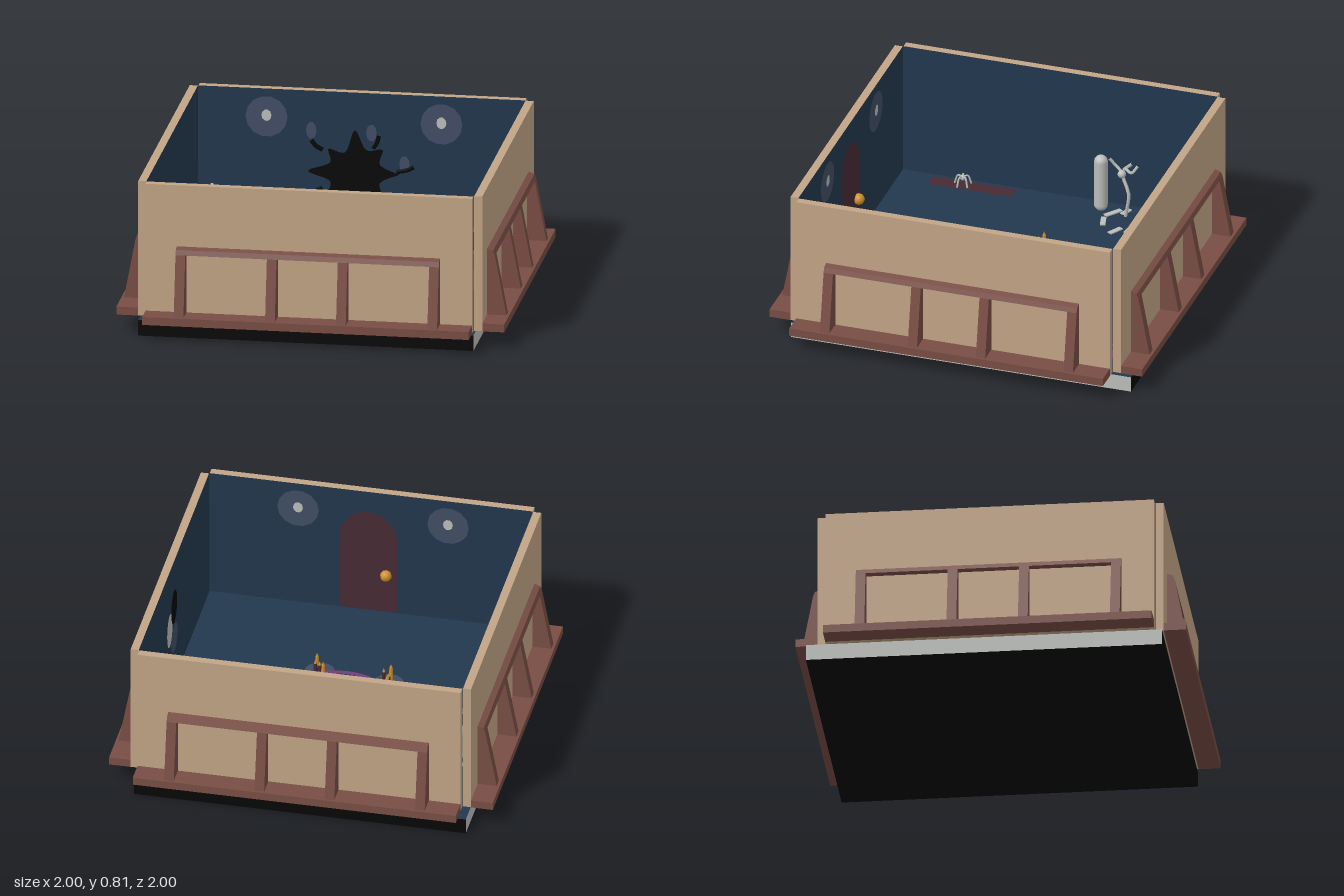
import * as THREE from 'three';

const mat = (name, color) => Object.assign(new THREE.MeshStandardMaterial({ color }), { name });

export function createModel() {
  const root = new THREE.Group();
  root.name = 'ritualRoom';
  const tan = mat('tanPlaster', 0xc2a486);
  const brown = mat('brownTrim', 0x784d44);
  const blue = mat('darkBlue', 0x22374e);
  const black = mat('black', 0x060606);
  const pale = mat('paleBone', 0xbcbeba);
  const purple = mat('purplePaint', 0x733b7a);
  const glow = mat('paleGlow', 0x414d65);
  const maroon = mat('darkRed', 0x472a35);
  const gold = mat('gold', 0xd0902c);

  const add = (parent, name, geo, material, x = 0, y = 0, z = 0) => {
    const m = new THREE.Mesh(geo, material);
    m.name = name;
    m.position.set(x, y, z);
    parent.add(m);
    return m;
  };
  const box = (w, h, d) => new THREE.BoxGeometry(w, h, d);
  const v3 = (p) => new THREE.Vector3(...p);

  // Closed flat outline, smooth or straight
  const blob = (pts, smooth = true) => {
    const v = pts.map((p) => new THREE.Vector2(...p));
    if (!smooth) return new THREE.ShapeGeometry(new THREE.Shape(v));
    const s = new THREE.Shape().moveTo(v[0].x, v[0].y);
    s.splineThru([...v.slice(1), v[0]]);
    return new THREE.ShapeGeometry(s);
  };
  const rod = (parent, name, pts, r, material) => add(parent, name,
    new THREE.TubeGeometry(new THREE.CatmullRomCurve3(pts.map(v3)), 10, r, 6), material);

  // Floor slab: blue top, pale sides, black ends and underside
  add(root, 'floorSlab', box(1.725, 0.083, 1.82), [pale, pale, blue, black, black, black], -0.017, 0.0415, -0.03);

  // Wall panel with sloped timber frame, outward along +z
  const ribProfile = new THREE.Shape([[0.88, 0.13], [0.985, 0.13], [0.925, 0.45], [0.915, 0.475], [0.88, 0.487]]
    .map((p) => new THREE.Vector2(...p)));
  const railProfile = new THREE.Shape([[0.88, 0.45], [0.925, 0.45], [0.915, 0.475], [0.88, 0.487]]
    .map((p) => new THREE.Vector2(...p)));
  const beam = (profile, x0, x1) => new THREE.ExtrudeGeometry(profile, { depth: x1 - x0, bevelEnabled: false })
    .rotateY(-Math.PI / 2).translate(x1, 0, 0);
  const makeWall = (name, angle) => {
    const g = new THREE.Group();
    g.name = name;
    g.rotation.y = angle;
    root.add(g);
    add(g, 'panel', box(1.68, 0.715, 0.042), [tan, tan, tan, tan, tan, blue], 0, 0.4525, 0.864);
    add(g, 'skirt', box(1.68, 0.042, 0.113), brown, 0, 0.115, 0.9415);
    for (const x of [-0.655, -0.185, 0.18, 0.65]) add(g, 'rib', beam(ribProfile, x - 0.025, x + 0.025), brown);
    add(g, 'rail', beam(railProfile, -0.68, 0.675), brown);
    return g;
  };
  const front = makeWall('frontWall', 0);
  const left = makeWall('leftWall', Math.PI / 2);
  const back = makeWall('backWall', Math.PI);
  makeWall('rightWall', -Math.PI / 2);

  // Paint on the inner face of a wall
  const onWall = (wall, name, geo, material, x, y, layer = 1) =>
    add(wall, name, geo.rotateY(Math.PI), material, x, y, 0.843 - 0.003 * layer);

  // Glowing wall lamps
  for (const [wall, xs] of [[front, [-0.4, 0.38]], [back, [-0.41, 0.49]]]) {
    for (const x of xs) {
      onWall(wall, 'lampGlow', new THREE.CircleGeometry(0.108, 14), glow, x, 0.663);
      onWall(wall, 'lamp', new THREE.CircleGeometry(0.026, 10).scale(1, 1.2, 1), pale, x, 0.67, 2);
    }
  }

  // Arched door and knob
  const door = new THREE.Shape().moveTo(-0.15, 0).lineTo(0.15, 0).lineTo(0.15, 0.42);
  door.absellipse(0, 0.42, 0.15, 0.17, 0, Math.PI);
  onWall(front, 'door', new THREE.ShapeGeometry(door), maroon, 0.015, 0.1);
  add(front, 'doorKnob', new THREE.SphereGeometry(0.03, 10, 8), gold, -0.08, 0.325, 0.825);

  // Ragged black hole with tendrils and wisps
  const radii = [0.23, 0.14, 0.2, 0.15, 0.25, 0.13, 0.19, 0.14, 0.24, 0.14, 0.19, 0.13, 0.22, 0.15, 0.2, 0.14];
  onWall(back, 'wallHole', blob(radii.map((r, i) => {
    const a = (i / radii.length) * Math.PI * 2;
    return [r * Math.cos(a), r * 0.9 * Math.sin(a)];
  })), black, 0.035, 0.385, 2);
  for (const [x, y, dx, dy] of [[0.2, 0.5, 0.06, 0.05], [-0.06, 0.52, -0.03, 0.07], [0.2, 0.3, 0.07, -0.06],
    [-0.1, 0.24, -0.06, -0.06], [-0.18, 0.4, -0.09, 0.03]]) {
    rod(back, 'tendril', [[x, y, 0.838], [x + dx * 0.6, y + dy * 0.4, 0.838], [x + dx, y + dy, 0.838]], 0.012, black);
  }
  for (const [x, y] of [[0.26, 0.6], [-0.05, 0.6], [-0.22, 0.44]]) {
    onWall(back, 'wisp', new THREE.CircleGeometry(0.027, 10).scale(1, 1.7, 1), glow, x, y);
  }

  // Painted figure on the left wall, with light spilling below
  onWall(left, 'figureHead', new THREE.CircleGeometry(0.07, 14).scale(1, 1.4, 1), black, 0.02, 0.55, 2);
  onWall(left, 'figureBody', new THREE.CircleGeometry(0.065, 14).scale(1, 1.5, 1), pale, 0.11, 0.46);
  onWall(left, 'figureGlow', new THREE.CircleGeometry(0.08, 14), glow, 0, 0.35);

  // Paint on the floor
  const onFloor = (name, geo, material, x, z, layer = 1) =>
    add(root, name, geo.rotateX(-Math.PI / 2), material, x, 0.083 + 0.002 * layer, z);
  const spill = new THREE.Shape().moveTo(0.84, 0.24).lineTo(0.56, 0.235)
    .bezierCurveTo(0.36, 0.2, 0.36, -0.1, 0.52, -0.122).lineTo(0.84, -0.1);
  onFloor('floorLight', new THREE.ShapeGeometry(spill), glow, 0, 0);
  const stain = [[-0.84, -0.68], [-0.84, -0.23]];
  for (let i = 0; i <= 20; i++) stain.push([-0.748 - 0.014 * Math.abs(Math.sin(i * Math.PI / 5 + 0.6)), -0.24 - i * 0.022]);
  onFloor('stain', blob(stain, false), maroon, 0, 0);

  // Summoning circle on a turned plate
  add(root, 'circlePlate', box(0.63, 0.004, 0.63), blue, -0.016, 0.083, 0.015).rotation.y = 0.175;
  onFloor('circleRing', new THREE.RingGeometry(0.262, 0.292, 40).scale(1, 0.95, 1), purple, 0, -0.005, 3);
  const tips = [[0.02, -0.27], [0.27, -0.04], [0.135, 0.24], [-0.22, 0.21], [-0.27, -0.1]];
  tips.forEach(([x, z], i) => {
    const [x2, z2] = tips[(i + 2) % 5];
    const len = Math.hypot(x2 - x, z2 - z);
    add(root, 'starLine', box(len, 0.004, 0.032), purple, (x + x2) / 2, 0.087, (z + z2) / 2)
      .rotation.y = -Math.atan2(z2 - z, x2 - x);
    onFloor('candleGlow', new THREE.CircleGeometry(0.078, 16), glow, x * 1.03, z * 1.03, 2);
    // Candle cluster
    for (let k = 0; k < 4; k++) {
      const a = k * 1.7 + i;
      const h = 0.04 + 0.012 * k;
      const cx = x * 1.03 + (k ? 0.026 : 0) * Math.cos(a);
      const cz = z * 1.03 + (k ? 0.03 : 0) * Math.sin(a);
      add(root, 'candle', new THREE.CylinderGeometry(0.009, 0.011, h, 8), k % 2 ? gold : maroon, cx, 0.083 + h / 2, cz);
      add(root, 'flame', new THREE.ConeGeometry(0.009, 0.024, 6), gold, cx, 0.093 + h, cz);
    }
  });

  // Cauldron, lid and spilt potion
  for (const [x, z, r] of [[0.67, -0.715, 0.078], [0.575, -0.67, 0.08], [0.64, -0.59, 0.08], [0.7, -0.61, 0.065],
    [0.52, -0.49, 0.036], [0.465, -0.4, 0.033]]) {
    onFloor('potionPuddle', new THREE.CircleGeometry(r, 20), purple, x, z);
  }
  const pot = [[0, 0], [0.04, 0.005], [0.064, 0.04], [0.06, 0.08], [0.052, 0.095], [0.06, 0.105], [0.05, 0.105], [0.046, 0.09]]
    .map((p) => new THREE.Vector2(...p));
  add(root, 'cauldron', new THREE.LatheGeometry(pot, 20), black, 0.595, 0.085, -0.585);
  onFloor('potion', new THREE.CircleGeometry(0.05, 20), purple, 0.595, -0.585, 50);
  add(root, 'lid', new THREE.SphereGeometry(0.062, 16, 8).scale(1, 0.25, 0.7), pale, 0.625, 0.14, -0.7).rotation.z = -0.2;

  // Small long-legged creatures
  const creature = (x, z, material) => {
    const g = new THREE.Group();
    g.name = 'creature';
    g.position.set(x, 0.085, z);
    root.add(g);
    add(g, 'body', new THREE.SphereGeometry(0.016, 8, 6), material, 0, 0.04, 0);
    for (let i = 0; i < 5; i++) {
      const c = Math.cos(i * 1.257 + 0.4);
      const s = Math.sin(i * 1.257 + 0.4);
      rod(g, 'leg', [[0, 0.04, 0], [0.025 * c, 0.05, 0.025 * s], [0.045 * c, 0, 0.045 * s]], 0.005, material);
    }
  };
  creature(0.41, -0.31, purple);
  creature(-0.805, 0.51, pale);

  // Scattered bones, tall pale post and twisted branches
  const bones = [[-0.73, -0.52, -0.66, -0.47], [-0.82, -0.45, -0.74, -0.45], [-0.67, -0.45, -0.58, -0.44],
    [-0.62, -0.4, -0.55, -0.36], [-0.8, -0.34, -0.72, -0.28], [-0.7, -0.28, -0.62, -0.3], [-0.82, -0.38, -0.76, -0.36]];
  for (const [x, z, x2, z2] of bones) {
    add(root, 'bone', box(Math.hypot(x2 - x, z2 - z), 0.006, 0.028), pale, (x + x2) / 2, 0.087, (z + z2) / 2)
      .rotation.y = -Math.atan2(z2 - z, x2 - x);
  }
  add(root, 'palePost', new THREE.CapsuleGeometry(0.036, 0.245, 6, 12), pale, -0.775, 0.242, -0.24);
  rod(root, 'branch', [[-0.75, 0.085, -0.38], [-0.74, 0.22, -0.4], [-0.76, 0.33, -0.36], [-0.74, 0.4, -0.42]], 0.009, pale);
  rod(root, 'branch', [[-0.76, 0.33, -0.36], [-0.77, 0.36, -0.32], [-0.76, 0.4, -0.29]], 0.008, pale);
  rod(root, 'branch', [[-0.75, 0.36, -0.38], [-0.7, 0.37, -0.43], [-0.71, 0.41, -0.46]], 0.008, pale);
  add(root, 'branchKnob', new THREE.SphereGeometry(0.022, 10, 8), pale, -0.69, 0.36, -0.38);

  return root;
}
